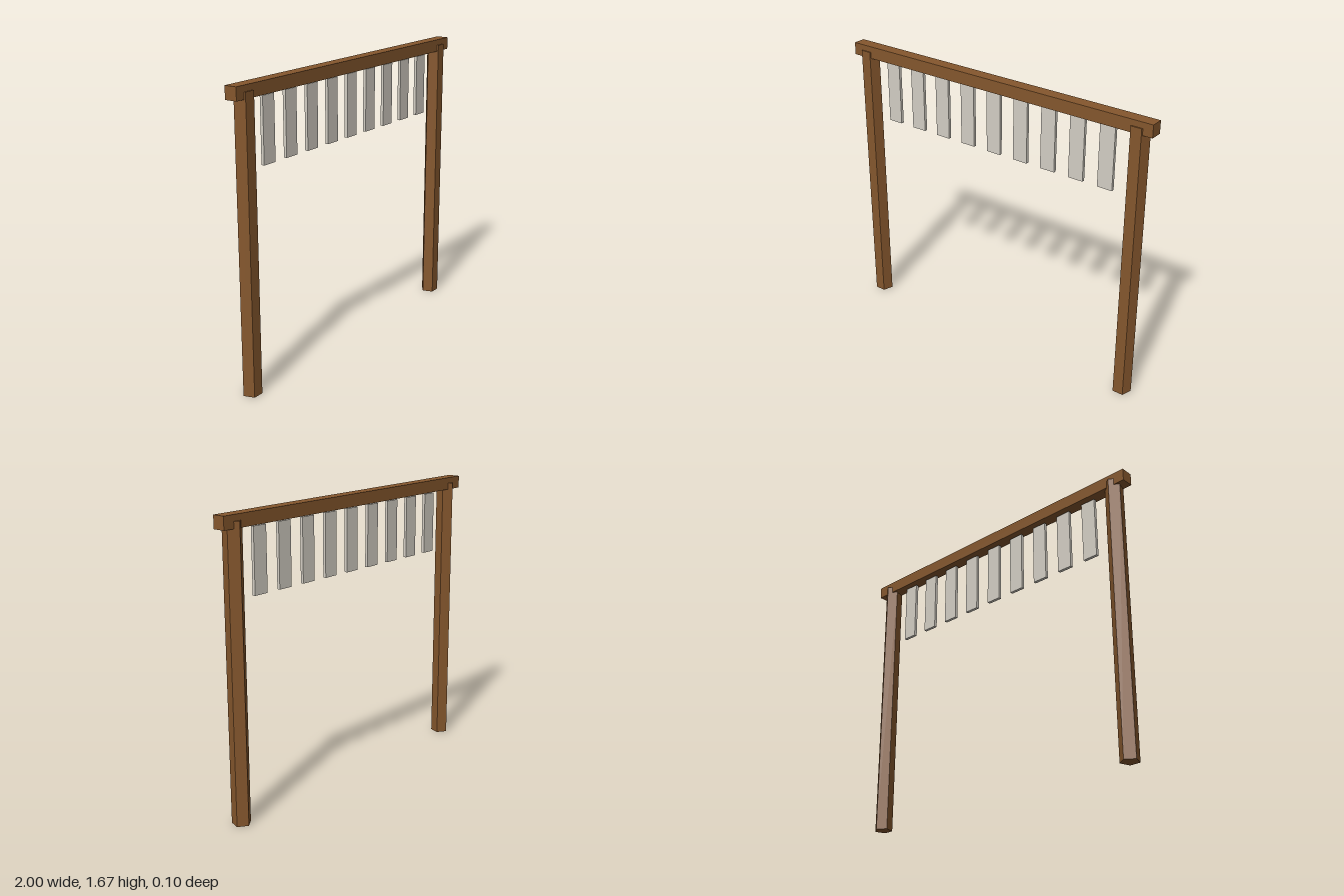
import * as THREE from 'three';

const BEAM_Z = 0.005;

export function createModel() {
  const group = new THREE.Group();
  group.name = 'hangingSlatArch';

  const wood = new THREE.MeshStandardMaterial({ color: 0x85572d });
  wood.name = 'brownWood';
  const cloth = new THREE.MeshStandardMaterial({ color: 0xd4cfc5 });
  cloth.name = 'paleGrey';

  const add = (geometry, material, name, x, y, z) => {
    const mesh = new THREE.Mesh(geometry, material);
    mesh.name = name;
    mesh.position.set(x, y, z);
    group.add(mesh);
  };

  // Five-sided posts, a flat face to the front and an edge to the back
  const postHeight = 1.64;
  const postGeometry = new THREE.CylinderGeometry(0.054, 0.054, postHeight, 5)
    .rotateY(Math.PI)
    .toNonIndexed();
  postGeometry.computeVertexNormals();
  for (const side of [-1, 1]) {
    add(postGeometry, wood, side > 0 ? 'leftPost' : 'rightPost', side * 0.909, postHeight / 2, BEAM_Z);
  }

  // Crossbeam overhanging the posts
  add(new THREE.BoxGeometry(2, 0.072, 0.073), wood, 'crossbeam', 0, 1.638, BEAM_Z);

  // Row of thin slats just under the beam
  const slatGeometry = new THREE.BoxGeometry(0.091, 0.362, 0.018);
  for (let i = 0; i < 9; i++) {
    add(slatGeometry, cloth, `slat${i + 1}`, (i - 4) * 0.182, 1.411, BEAM_Z);
  }

  return group;
}
